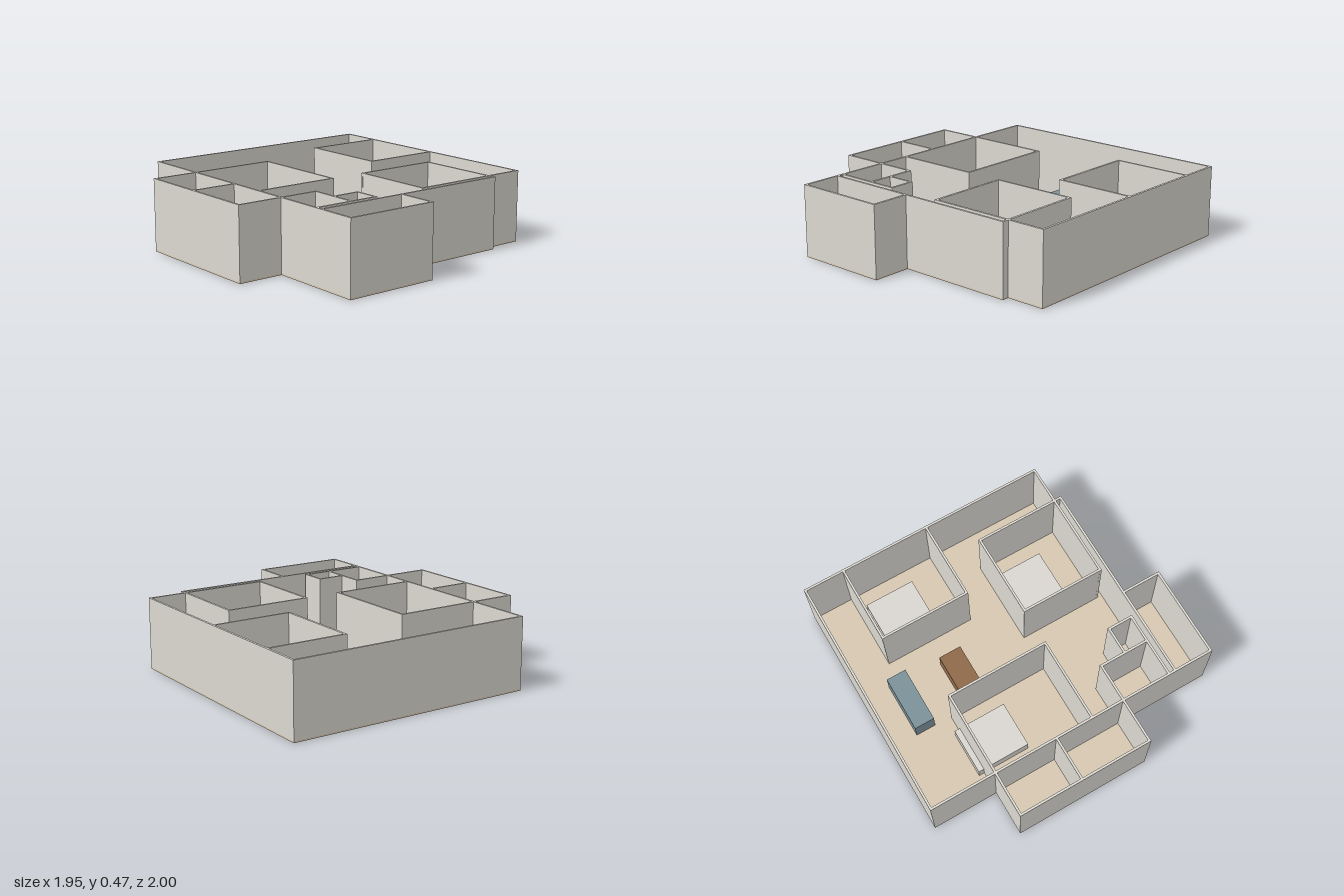
import * as THREE from 'three';

const material = (name, color) => {
  const m = new THREE.MeshStandardMaterial({ color });
  m.name = name;
  return m;
};

export function createModel() {
  const wallGrey = material('wall grey', 0xdcd9d2);
  const floorTan = material('floor tan', 0xd7c8b1);
  const bedGrey = material('bed grey', 0xdad7d1);
  const sofaBlue = material('sofa blue', 0x7c919a);
  const tableBrown = material('table brown', 0x906a4a);

  const house = new THREE.Group();
  house.name = 'floorPlan';
  const FLOOR = 0.01, TOP = 0.47, T = 0.015;

  // Box given by its limits
  function block(name, mat, x0, x1, y0, y1, z0, z1, parent = house) {
    const mesh = new THREE.Mesh(new THREE.BoxGeometry(x1 - x0, y1 - y0, z1 - z0), mat);
    mesh.position.set((x0 + x1) / 2, (y0 + y1) / 2, (z0 + z1) / 2);
    mesh.name = name;
    parent.add(mesh);
  }

  // Floor slab following the outer walls
  const outline = [
    [-0.675, -1], [0.97, -1], [0.97, 0.695], [0.715, 0.695], [0.715, 0.74], [-0.055, 0.74],
    [-0.055, 1], [-0.675, 1], [-0.675, 0.362], [-0.975, 0.362], [-0.975, -0.557], [-0.675, -0.557],
  ];
  const shape = new THREE.Shape(outline.map(([x, z]) => new THREE.Vector2(x, -z)));
  const slab = new THREE.ExtrudeGeometry(shape, { depth: FLOOR, bevelEnabled: false });
  slab.rotateX(-Math.PI / 2);
  const floor = new THREE.Mesh(slab, floorTan);
  floor.name = 'floor';
  house.add(floor);

  const walls = new THREE.Group();
  walls.name = 'walls';
  house.add(walls);

  // Walls running along x: centre z, then outer ends in x
  const alongX = [
    ['backWall', -0.9925, -0.675, 0.97],
    ['frontRightWall', 0.6875, 0.7, 0.97],
    ['frontWall', 0.7325, -0.675, 0.715],
    ['porchFrontWall', 0.9925, -0.675, -0.055],
    ['bedroomBackWall', -0.55, -0.975, -0.098],
    ['sideRoomDivider', -0.122, -0.975, -0.66],
    ['sideRoomFrontWall', 0.355, -0.975, -0.403],
    ['bedroomFrontWall', 0.132, -0.675, -0.098],
    ['eastBedroomBackWall', -0.722, 0.428, 0.97],
    ['eastBedroomFrontWall', -0.122, 0.428, 0.97],
    ['southBedroomBackWall', 0.132, 0.137, 0.715],
    ['southBedroomFrontWall', 0.6875, 0.137, 0.715],
    ['bathroomFrontWall', 0.6875, -0.675, -0.22],
    ['closetBackWall', 0.525, -0.418, -0.22],
  ];
  for (const [name, z, x0, x1] of alongX)
    block(name, wallGrey, x0, x1, FLOOR, TOP, z - T / 2, z + T / 2, walls);

  // Walls running along z: centre x, then outer ends in z
  const alongZ = [
    ['westWall', -0.6675, -1, 1],
    ['eastWall', 0.9625, -1, 0.695],
    ['porchSideWall', -0.0625, 0.725, 1],
    ['sideRoomOuterWall', -0.9675, -0.557, 0.362],
    ['bedroomSideWall', -0.105, -0.557, 0.139],
    ['eastBedroomSideWall', 0.435, -0.729, -0.115],
    ['southBedroomWestWall', 0.145, 0.125, 0.695],
    ['southBedroomEastWall', 0.7075, 0.125, 0.74],
    ['bathroomSideWall', -0.411, 0.348, 0.695],
    ['closetSideWall', -0.2275, 0.518, 0.695],
  ];
  for (const [name, x, z0, z1] of alongZ)
    block(name, wallGrey, x - T / 2, x + T / 2, FLOOR, TOP, z0, z1, walls);

  // Furniture
  block('westBed', bedGrey, -0.525, -0.215, FLOOR, 0.1, -0.595, -0.235);
  block('eastBed', bedGrey, 0.56, 0.83, FLOOR, 0.1, -0.67, -0.33);
  block('southBed', bedGrey, 0.27, 0.577, FLOOR, 0.1, 0.14, 0.5);
  block('sofa', sofaBlue, -0.09, 0.288, FLOOR, 0.155, -0.807, -0.672);
  block('diningTable', tableBrown, -0.053, 0.255, FLOOR, 0.138, -0.441, -0.287);

  return house;
}
